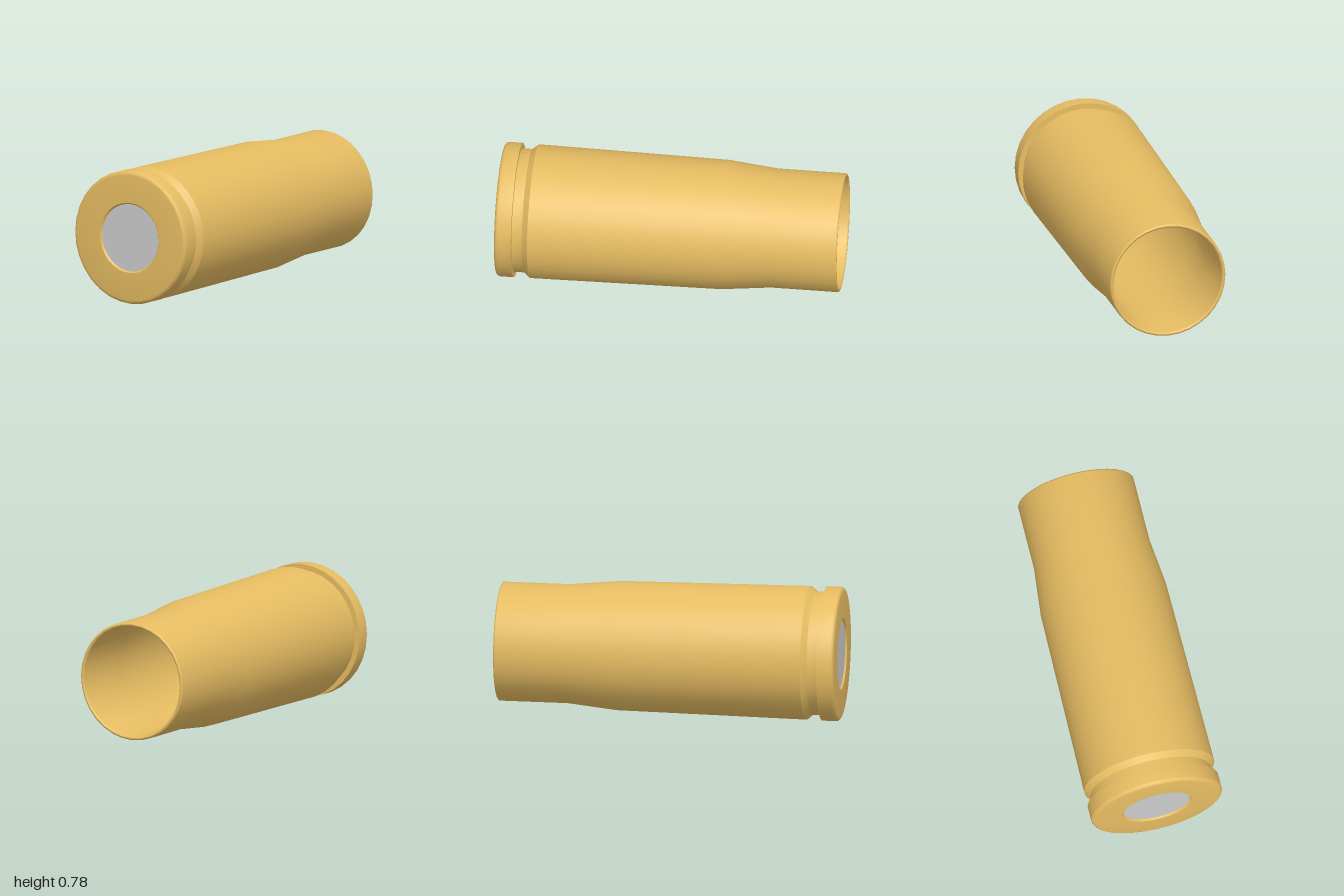
import * as THREE from 'three';
import { toCreasedNormals } from 'three/addons/utils/BufferGeometryUtils.js';

const SIDES = 32;
const CENTRE_Y = 0.393;

// Quarter-round corner as [radius, z] points, swept from angle a0 to a1
function corner(r, z, size, a0, a1, steps = 4) {
  const points = [];
  for (let i = 0; i <= steps; i++) {
    const a = a0 + ((a1 - a0) * i) / steps;
    points.push([r + size * Math.cos(a), z + size * Math.sin(a)]);
  }
  return points;
}

// Revolves a [radius, z] profile around the z axis
function revolve(name, profile, color) {
  const points = profile.map(([r, z]) => new THREE.Vector2(r, z));
  const lathe = new THREE.LatheGeometry(points, SIDES).rotateX(Math.PI / 2);
  const mesh = new THREE.Mesh(
    toCreasedNormals(lathe, 0.5),
    new THREE.MeshStandardMaterial({ color })
  );
  mesh.name = name;
  return mesh;
}

export function createModel() {
  const group = new THREE.Group();
  group.name = 'cartridgeCase';

  const caseProfile = [
    // hollow inside, from floor to mouth
    [0, 0.76], [0.3, 0.76], [0.34, 0.7], [0.355, -0.3], [0.326, -0.6],
    // rounded lip
    ...corner(0.3365, -0.9895, 0.0105, Math.PI, 2 * Math.PI, 8),
    // neck, shoulder and tapered body
    [0.347, -0.6], [0.377, -0.31], [0.39, 0.805],
    // extractor groove
    [0.36, 0.84], [0.36, 0.9],
    // rim with rounded edge
    [0.392, 0.9], ...corner(0.37, 0.978, 0.022, 0, Math.PI / 2),
    // bevelled seat around the primer
    [0.207, 1], [0.198, 0.99],
  ];
  group.add(revolve('case', caseProfile, 0xe6bc62));

  // flat primer disc in the head
  const primer = new THREE.Mesh(
    new THREE.CircleGeometry(0.198, SIDES),
    new THREE.MeshStandardMaterial({ color: 0xcccccc })
  );
  primer.name = 'primer';
  primer.position.z = 0.99;
  group.add(primer);

  group.position.y = CENTRE_Y;
  const model = new THREE.Group();
  model.name = 'model';
  model.add(group);
  return model;
}
